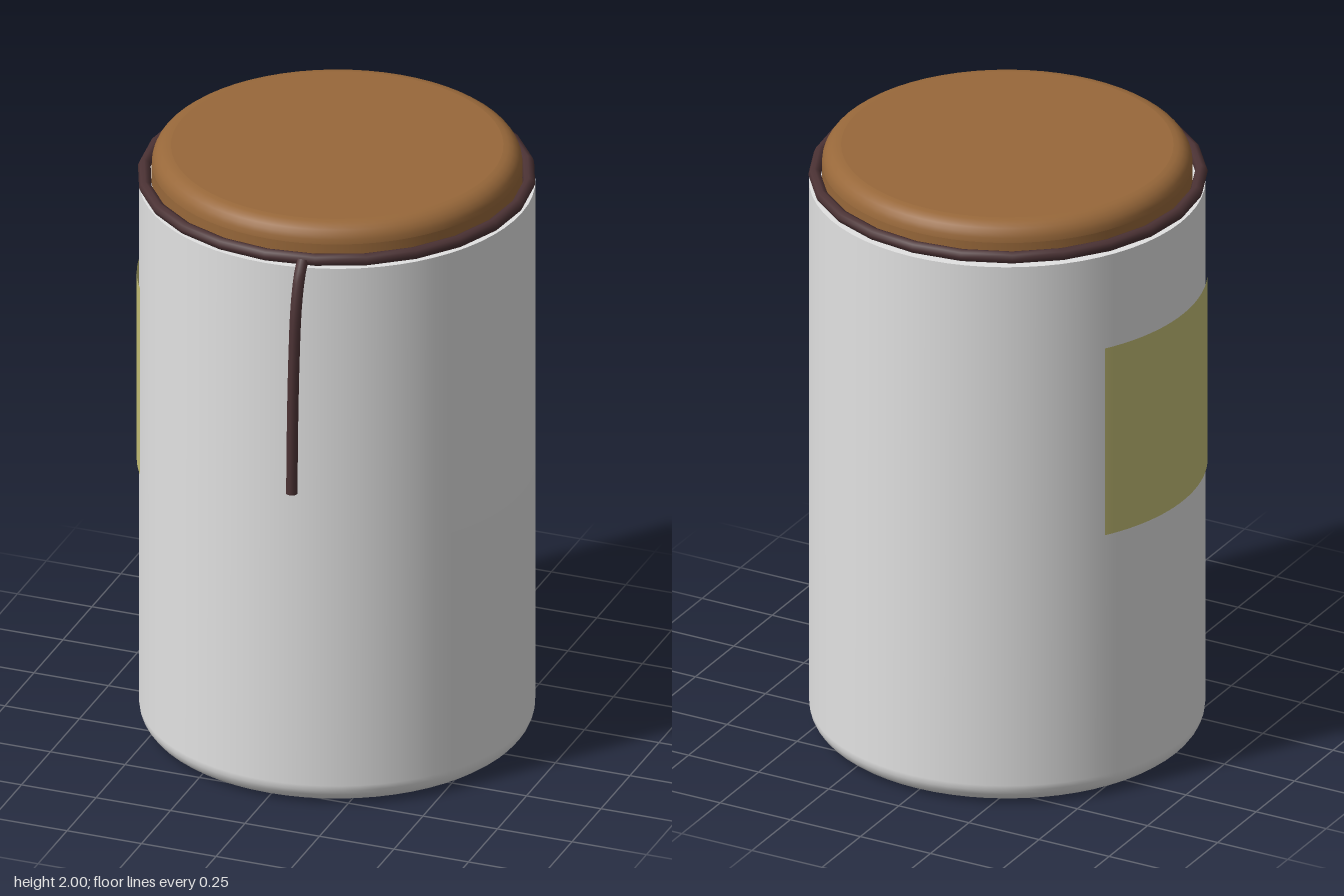
import * as THREE from 'three';

const CENTER_Z = -0.045;

function material(name, color, side = THREE.FrontSide) {
  const m = new THREE.MeshStandardMaterial({ color, side });
  m.name = name;
  return m;
}

// Quarter-round corner in a lathe profile, from angle a to angle b
function corner(x, y, r, a, b, steps = 6) {
  return Array.from({ length: steps + 1 }, (_, i) => {
    const t = a + (b - a) * i / steps;
    return [x + r * Math.cos(t), y + r * Math.sin(t)];
  });
}

// Repeated profile points keep an edge sharp
const lathe = (profile) =>
  new THREE.LatheGeometry(profile.map(([x, y]) => new THREE.Vector2(x, y)), 64);

export function createModel() {
  const group = new THREE.Group();
  group.name = 'jar';

  const glaze = material('pale glaze', 0xe2e2e2);
  const cork = material('cork brown', 0x98683a);
  const leather = material('dark cord', 0x4b3234);
  const paper = material('label paper', 0xc6c077, THREE.DoubleSide);

  const add = (name, geometry, mat, x = 0, y = 0, z = CENTER_Z) => {
    const mesh = new THREE.Mesh(geometry, mat);
    mesh.name = name;
    mesh.position.set(x, y, z);
    group.add(mesh);
    return mesh;
  };

  // Body with a rounded foot and a flat rim turning inwards
  add('body', lathe([
    [0, 0], [0.55, 0],
    ...corner(0.55, 0.07, 0.07, -Math.PI / 2, 0),
    [0.62, 1.875], [0.62, 1.875],
    [0.575, 1.875], [0.575, 1.875],
    [0.575, 1.78],
  ]), glaze);

  // Stopper with a rounded upper edge
  add('stopper', lathe([
    [0, 1.79], [0.58, 1.79], [0.58, 1.79], [0.58, 1.94],
    ...corner(0.52, 1.94, 0.06, 0, Math.PI / 2),
    [0.52, 2], [0, 2],
  ]), cork);

  // Cord tied round the neck
  const ring = add('neckCord', new THREE.TorusGeometry(0.605, 0.02, 8, 24), leather, 0, 1.9, -0.04);
  ring.rotation.x = Math.PI / 2;

  // Loose end of the cord hanging at the front
  const path = new THREE.CatmullRomCurve3([
    [1.9, 0.56], [1.86, 0.587], [1.76, 0.617], [1.6, 0.635], [1.4, 0.647], [1.13, 0.655],
  ].map(([y, z]) => new THREE.Vector3(0.12, y, z)));
  add('hangingCord', new THREE.TubeGeometry(path, 20, 0.019, 8), leather, 0, 0, 0);
  const cap = add('hangingCordEnd', new THREE.CircleGeometry(0.019, 8), leather, 0.12, 1.13, 0.655);
  cap.rotation.x = Math.PI / 2;

  // Curved label on the side
  const half = THREE.MathUtils.degToRad(32);
  add('label', new THREE.CylinderGeometry(0.627, 0.627, 0.65, 24, 1, true,
    Math.PI * 1.5 - half, half * 2), paper, 0, 1.232);

  return group;
}
